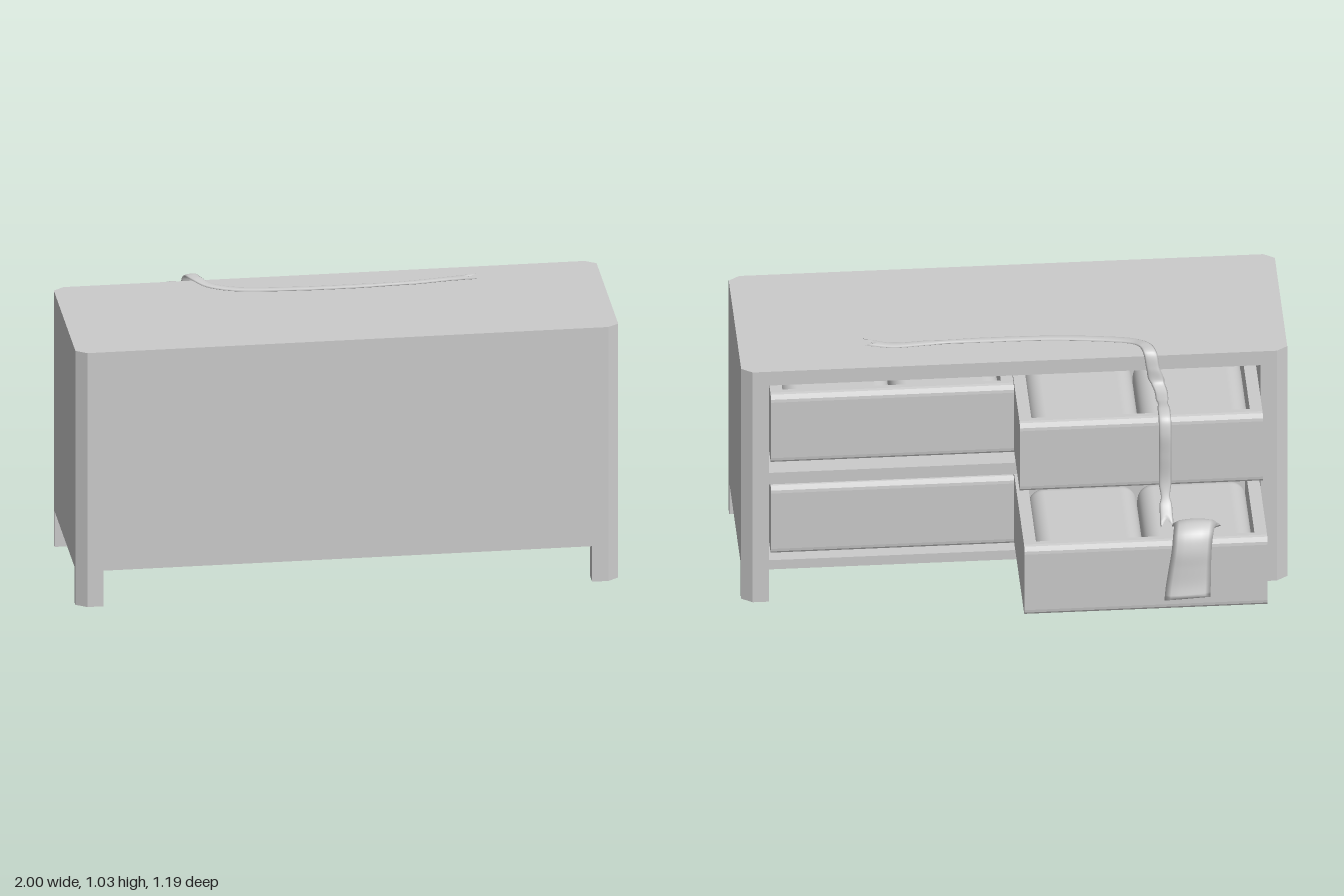
import * as THREE from 'three';
import { RoundedBoxGeometry } from 'three/addons/geometries/RoundedBoxGeometry.js';

const grey = new THREE.MeshStandardMaterial({ color: 0xcccccc });
grey.name = 'light grey';

const BACK = -0.06, FRONT = 0.59;   // depth range of the cabinet
const CX = 0.04, CZ = 0.028;        // corner chamfer

function part(geometry, name, parent) {
  const mesh = new THREE.Mesh(geometry, grey);
  mesh.name = name;
  parent.add(mesh);
  return mesh;
}

function box(x0, x1, y0, y1, z0, z1, name, parent) {
  const mesh = part(new THREE.BoxGeometry(x1 - x0, y1 - y0, z1 - z0), name, parent);
  mesh.position.set((x0 + x1) / 2, (y0 + y1) / 2, (z0 + z1) / 2);
  return mesh;
}

// Extrudes a plan outline of [x, z] points from y0 up to y1
function prism(outline, y0, y1, name, parent) {
  const shape = new THREE.Shape(outline.map(([x, z]) => new THREE.Vector2(x, -z)));
  const geometry = new THREE.ExtrudeGeometry(shape, { depth: y1 - y0, bevelEnabled: false });
  geometry.rotateX(-Math.PI / 2).translate(0, y0, 0);
  return part(geometry, name, parent);
}

function buildCabinet() {
  const cabinet = new THREE.Group();
  cabinet.name = 'cabinet';
  const outer = [
    [-1, BACK + CZ], [-1, FRONT - CZ], [-1 + CX, FRONT], [1 - CX, FRONT],
    [1, FRONT - CZ], [1, BACK + CZ],
  ];
  const outline = [[-1 + CX, BACK], ...outer, [1 - CX, BACK]];
  prism(outline, 0.94, 1, 'top', cabinet);
  prism(outline, 0.14, 0.18, 'base', cabinet);
  // Walls on three sides, open towards the drawers
  prism([
    [-0.9, BACK], [-1 + CX, BACK], ...outer, [1 - CX, BACK], [0.9, BACK],
    [0.9, FRONT - 0.05], [-0.9, FRONT - 0.05],
  ], 0.18, 0.94, 'walls', cabinet);
  box(-0.9, 0.9, 0.51, 0.56, BACK, FRONT - 0.05, 'middleRail', cabinet);
  // Four legs with chamfered outer corners
  for (const s of [-1, 1]) {
    for (const [edge, d] of [[FRONT, -1], [BACK, 1]]) {
      prism([
        [s * 0.9, edge], [s * (1 - CX), edge], [s, edge + d * CZ],
        [s, edge + d * 0.053], [s * 0.9, edge + d * 0.053],
      ], 0, 0.14, 'leg', cabinet);
    }
  }
  return cabinet;
}

// A drawer with its outer face at z = 0, reaching back to z = 0.55
function buildDrawer(name) {
  const W = 0.445, H = 0.295, D = 0.55, T = 0.045, R = 0.027;
  const drawer = new THREE.Group();
  drawer.name = name;
  // Face panel with rounded top and bottom edges
  const profile = new THREE.Shape();
  profile.moveTo(-T, 0);
  profile.lineTo(-R, 0);
  profile.quadraticCurveTo(0, 0, 0, R);
  profile.lineTo(0, H - R);
  profile.quadraticCurveTo(0, H, -R, H);
  profile.lineTo(-T, H);
  const face = new THREE.ExtrudeGeometry(profile, { depth: 2 * W, bevelEnabled: false, curveSegments: 4 });
  face.rotateY(Math.PI / 2).translate(-W, 0, 0);
  part(face, 'drawerFace', drawer);
  for (const [x0, x1] of [[-W, -W + T], [W - T, W]]) box(x0, x1, 0, H, T, D, 'drawerSide', drawer);
  box(-W + T, W - T, 0, H, D - T, D, 'drawerEnd', drawer);
  box(-W + T, W - T, 0, 0.03, T, D - T, 'drawerBottom', drawer);
  // Two plump cushions
  for (const s of [-1, 1]) {
    const w = 0.397, h = 0.22, d = D - 2 * T;
    const geometry = new RoundedBoxGeometry(w, h, d, 6, 0.06);
    const cushion = part(geometry, 'cushion', drawer);
    cushion.position.set(s * 0.2, 0.03 + h / 2, D / 2);
  }
  return drawer;
}

// A thin soft band along rows of [x, y, z, sideAngle, halfWidth], with optional swallow tails
function band(rows, thickness, fork, steps, name, parent) {
  const path = new THREE.CatmullRomCurve3(rows.map(r => new THREE.Vector3(r[0], r[1], r[2])));
  const shape = new THREE.CatmullRomCurve3(rows.map(r => new THREE.Vector3(r[3], r[4], 0)));
  const across = [-1, -0.75, -0.4, 0, 0.4, 0.75, 1];
  const ring = [...across.map(u => [u, 1]), ...across.slice(1, -1).reverse().map(u => [u, -1])];
  const n = ring.length, positions = [], index = [];
  for (let i = 0; i <= steps; i++) {
    const t = i / steps;
    const p = path.getPoint(t), tangent = path.getTangent(t), s = shape.getPoint(t);
    const side = new THREE.Vector3(Math.cos(s.x), 0, Math.sin(s.x));
    const normal = side.clone().cross(tangent).normalize();
    const end = Math.min(t, 1 - t);
    const taper = end === 0 ? 0.05 : 1;
    const tail = fork * Math.max(0, 1 - end * 22) * (t < 0.5 ? -1 : 1);
    for (const [u, f] of ring) {
      const v = p.clone()
        .addScaledVector(side, u * s.y)
        .addScaledVector(normal, f * taper * thickness / 2 * Math.sqrt(1 - u * u))
        .addScaledVector(tangent, tail * Math.abs(u));
      positions.push(v.x, v.y, v.z);
    }
  }
  for (let i = 0; i < steps; i++) {
    for (let j = 0; j < n; j++) {
      const a = i * n + j, b = i * n + (j + 1) % n;
      index.push(a, b, a + n, b, b + n, a + n);
    }
  }
  const geometry = new THREE.BufferGeometry();
  geometry.setAttribute('position', new THREE.Float32BufferAttribute(positions, 3));
  geometry.setIndex(index);
  geometry.computeVertexNormals();
  return part(geometry, name, parent);
}

export function createModel() {
  const model = new THREE.Group();
  model.name = 'dresser';
  model.add(buildCabinet());

  // Drawers: [name, centre x, bottom y, face z]
  for (const [name, x, y, z] of [
    ['upperOpenDrawer', -0.445, 0.59, -0.31], ['lowerOpenDrawer', -0.445, 0.195, -0.53],
    ['upperClosedDrawer', 0.447, 0.59, -0.05], ['lowerClosedDrawer', 0.447, 0.195, -0.05],
  ]) {
    const drawer = buildDrawer(name);
    drawer.position.set(x, y, z);
    model.add(drawer);
  }

  // Long ribbon lying on the top and trailing over the upper drawer
  const q = -Math.PI / 2;
  band([
    [0.51, 1.016, 0.078, q, 0.024], [0.44, 1.009, 0.069, q, 0.017], [0.3, 1.006, 0.08, q, 0.016],
    [0.1, 1.005, 0.085, q, 0.016], [-0.15, 1.005, 0.079, q, 0.016], [-0.35, 1.006, 0.055, -1.25, 0.018],
    [-0.44, 1.014, 0.022, -0.9, 0.02], [-0.48, 1.024, -0.025, -0.4, 0.023], [-0.495, 1.018, -0.068, -0.1, 0.025],
    [-0.505, 0.96, -0.083, 0, 0.025], [-0.52, 0.905, -0.092, 0, 0.025], [-0.53, 0.888, -0.125, 0, 0.024],
    [-0.53, 0.89, -0.19, 0, 0.023], [-0.53, 0.902, -0.27, 0, 0.023], [-0.53, 0.89, -0.318, 0, 0.023],
    [-0.53, 0.84, -0.335, 0, 0.023], [-0.53, 0.74, -0.332, 0, 0.023], [-0.53, 0.62, -0.328, 0, 0.023],
    [-0.53, 0.55, -0.355, 0, 0.023], [-0.53, 0.51, -0.4, 0, 0.025],
  ], 0.01, 0.035, 140, 'ribbon', model);

  // Wider cloth folded over the face of the lower drawer
  band([
    [-0.635, 0.505, -0.45, 0.04, 0.09], [-0.63, 0.53, -0.468, 0.04, 0.082], [-0.625, 0.537, -0.5, 0, 0.076],
    [-0.617, 0.52, -0.535, -0.03, 0.074], [-0.61, 0.47, -0.556, -0.05, 0.074], [-0.603, 0.4, -0.561, -0.06, 0.078],
    [-0.597, 0.33, -0.567, -0.07, 0.083], [-0.592, 0.275, -0.58, -0.08, 0.085],
  ], 0.034, 0, 40, 'cloth', model);

  return model;
}
